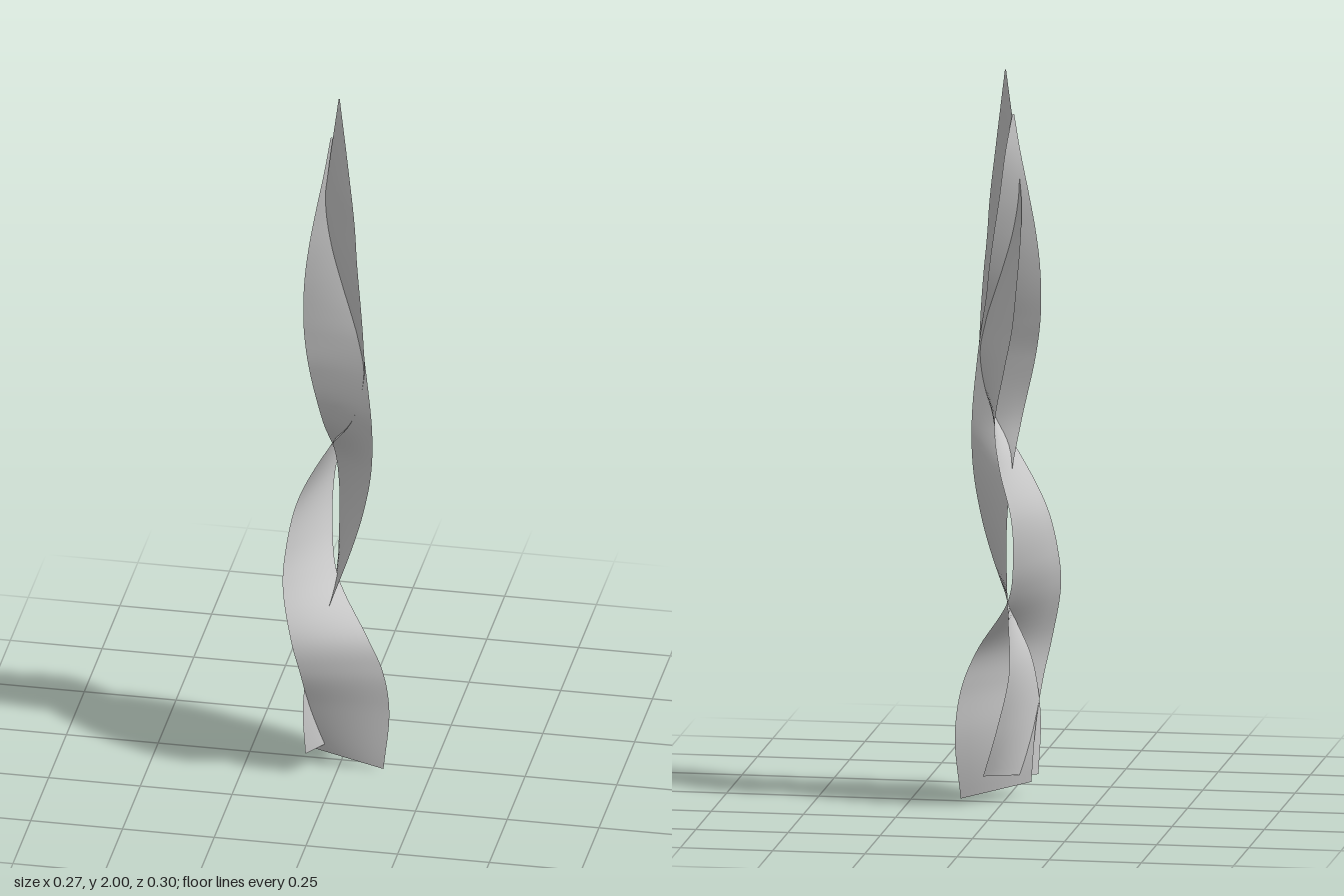
import * as THREE from 'three';

// Smooth curve through edge points [x, y, z]
const edge = (pts) => new THREE.CatmullRomCurve3(pts.map((p) => new THREE.Vector3(...p)), false, 'centripetal');

// Thin ribbon lofted between two edge curves that share the same key rows
function ribbon(name, edgeA, edgeB, material) {
  const rows = 112, cols = 6, pos = [], index = [];
  const a = edge(edgeA), b = edge(edgeB), p = new THREE.Vector3();
  for (let i = 0; i <= rows; i++) {
    const start = a.getPoint(i / rows), end = b.getPoint(i / rows);
    for (let j = 0; j <= cols; j++) {
      p.lerpVectors(start, end, j / cols);
      pos.push(p.x, p.y, p.z);
      if (i < rows && j < cols) {
        const k = i * (cols + 1) + j, n = k + cols + 1;
        index.push(k, k + 1, n, k + 1, n + 1, n);
      }
    }
  }
  const geometry = new THREE.BufferGeometry();
  geometry.setAttribute('position', new THREE.Float32BufferAttribute(pos, 3));
  geometry.setIndex(index);
  geometry.computeVertexNormals();
  const mesh = new THREE.Mesh(geometry, material);
  mesh.name = name;
  return mesh;
}

export function createModel() {
  const group = new THREE.Group();
  group.name = 'twistedBlades';
  const material = new THREE.MeshStandardMaterial({ color: 0xcccccc, side: THREE.DoubleSide });

  // Tall blade, twisting from the base to the highest tip
  group.add(ribbon('tallBlade',
    [[-0.07, 0.05, 0.04], [-0.075, 0.2, 0.085], [-0.088, 0.32, 0.13], [-0.108, 0.42, 0.148], [-0.137, 0.57, 0.12],
      [-0.135, 0.67, 0.09], [-0.11, 0.8, 0.055], [-0.035, 0.95, 0.045], [0.04, 1.06, 0.056], [0.074, 1.2, 0.064],
      [0.074, 1.3, 0.073], [0.066, 1.42, 0.073], [0.053, 1.53, 0.055], [0.042, 1.64, 0.034], [0.022, 1.79, 0.014],
      [-0.005, 2, 0]],
    [[0.12, 0, 0.03], [0.135, 0.17, 0.025], [0.12, 0.3, 0.04], [0.08, 0.4, 0.045], [-0.015, 0.55, -0.02],
      [-0.04, 0.66, -0.08], [-0.043, 0.8, -0.13], [-0.014, 0.94, -0.149], [0, 1.05, -0.139], [-0.02, 1.2, -0.1],
      [-0.035, 1.3, -0.065], [-0.042, 1.42, -0.028], [-0.048, 1.53, -0.006], [-0.05, 1.64, 0], [-0.035, 1.79, 0],
      [-0.008, 2, 0]],
    material));

  // Shorter blade, crossing through the tall one
  group.add(ribbon('shortBlade',
    [[-0.08, 0.06, 0.096], [-0.083, 0.22, 0.114], [-0.064, 0.38, 0.085], [-0.02, 0.5, 0.055], [0.035, 0.66, 0.038],
      [0.066, 0.77, 0.04], [0.09, 0.9, 0.05], [0.095, 1.03, 0.06], [0.08, 1.2, 0.061], [0.065, 1.3, 0.05],
      [0.052, 1.37, 0.035], [0.041, 1.45, 0.016], [0.025, 1.55, -0.003], [0.008, 1.65, -0.016], [-0.01, 1.78, -0.024],
      [-0.026, 1.88, -0.004]],
    [[0.045, 0.08, -0.055], [0, 0.22, -0.1], [-0.038, 0.38, -0.13], [-0.037, 0.52, -0.14], [-0.032, 0.66, -0.133],
      [-0.03, 0.77, -0.12], [-0.032, 0.89, -0.075], [-0.045, 1.04, 0.035], [-0.078, 1.2, 0.052], [-0.093, 1.3, 0.045],
      [-0.097, 1.38, 0.038], [-0.094, 1.47, 0.032], [-0.084, 1.56, 0.025], [-0.068, 1.66, 0.013], [-0.046, 1.78, 0.003],
      [-0.03, 1.88, 0]],
    material));

  return group;
}
